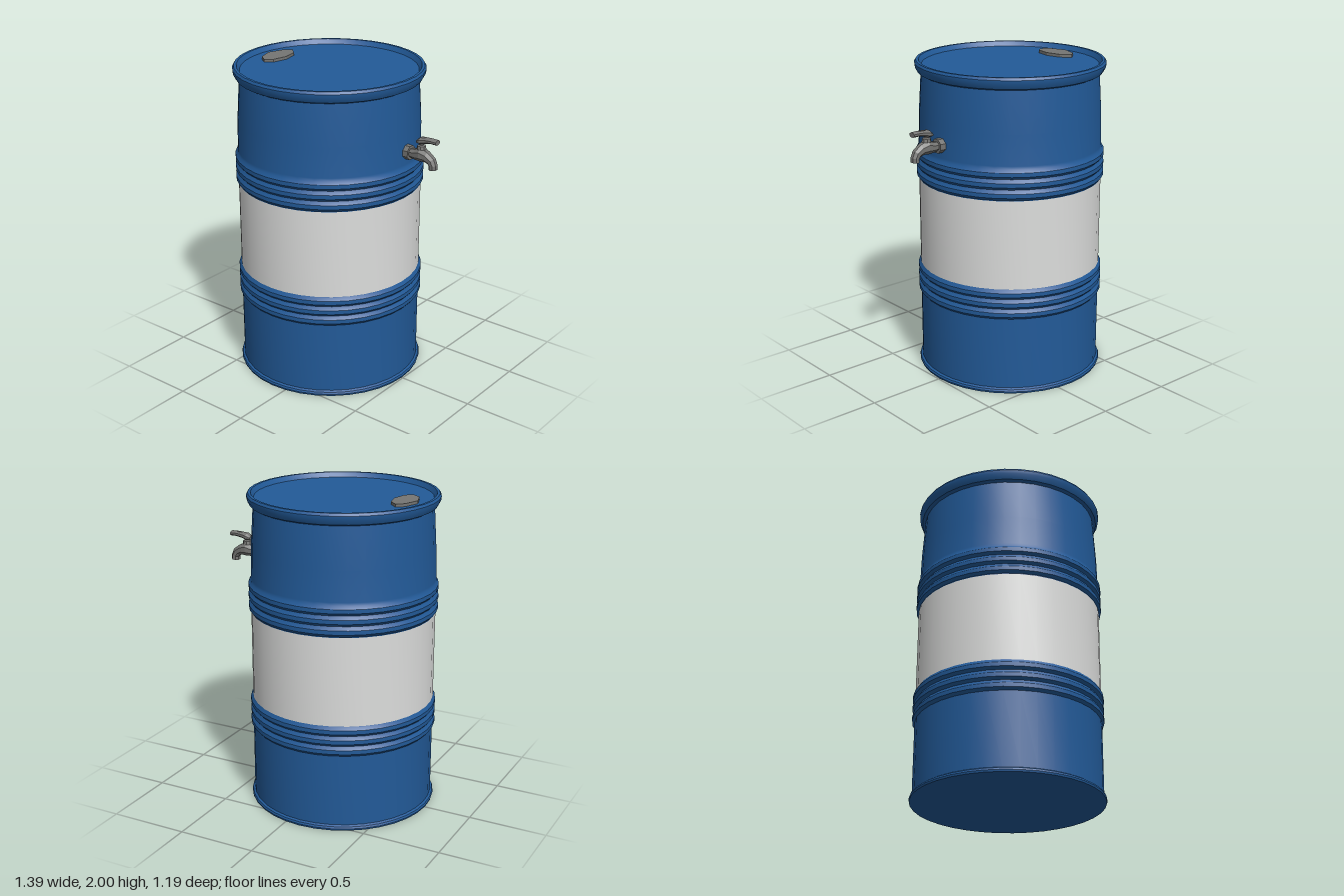
import * as THREE from 'three';
import { toCreasedNormals } from 'three/addons/utils/BufferGeometryUtils.js';

const blue = new THREE.MeshStandardMaterial({ color: 0x225a98 });
blue.name = 'blue paint';
const white = new THREE.MeshStandardMaterial({ color: 0xdcdddc });
white.name = 'white paint';
const grey = new THREE.MeshStandardMaterial({ color: 0x757573 });
grey.name = 'grey metal';

const CENTRE_X = -0.1;
const LID_Y = 1.97;

// Revolved shell from [radius, height] pairs, listed from bottom to top
function shell(name, profile, material) {
  const points = profile.map(([r, y]) => new THREE.Vector2(r, y));
  const geometry = toCreasedNormals(new THREE.LatheGeometry(points, 36), 0.6);
  const mesh = new THREE.Mesh(geometry, material);
  mesh.name = name;
  mesh.position.x = CENTRE_X;
  return mesh;
}

// Three rolled hoops stacked upwards from y
function hoops(y) {
  const points = [];
  for (let i = 0; i < 3; i++) {
    const b = y + i * 0.065;
    points.push([0.577, b], [0.592, b + 0.017], [0.592, b + 0.043], [0.578, b + 0.062]);
  }
  return points;
}

// Faceted closed loft; each section is [x, y, direction, half height, half width]
function loft(name, sections, sides = 8) {
  const first = sections[0], last = sections[sections.length - 1];
  const all = [[first[0], first[1], first[2], 0, 0], ...sections, [last[0], last[1], last[2], 0, 0]];
  const positions = [], index = [];
  all.forEach(([x, y, a, h, w], i) => {
    for (let j = 0; j < sides; j++) {
      const t = ((j + 0.5) / sides) * Math.PI * 2;
      positions.push(x - Math.sin(a) * Math.cos(t) * h, y + Math.cos(a) * Math.cos(t) * h, Math.sin(t) * w);
      if (i === all.length - 1) continue;
      const k = (j + 1) % sides, p = i * sides, q = p + sides;
      index.push(p + j, p + k, q + k, p + j, q + k, q + j);
    }
  });
  let geometry = new THREE.BufferGeometry();
  geometry.setAttribute('position', new THREE.Float32BufferAttribute(positions, 3));
  geometry.setIndex(index);
  geometry = geometry.toNonIndexed();
  geometry.computeVertexNormals();
  const mesh = new THREE.Mesh(geometry, grey);
  mesh.name = name;
  return mesh;
}

export function createModel() {
  const model = new THREE.Group();
  model.name = 'barrel';

  // Drum: lower part, painted band, upper part with recessed lid
  model.add(shell('lowerDrum', [
    [0, 0], [0.592, 0], [0.595, 0.012], [0.59, 0.024], [0.577, 0.032],
    ...hoops(0.497), [0.577, 0.692],
  ], blue));
  model.add(shell('whiteBand', [[0.577, 0.692], [0.577, 1.255]], white));
  model.add(shell('upperDrum', [
    [0.577, 1.255], ...hoops(1.26), [0.576, 1.47], [0.571, 1.66], [0.555, 1.92],
    [0.575, 1.93], [0.592, 1.962], [0.594, 1.985], [0.585, 2], [0.568, 2],
    [0.55, LID_Y], [0, LID_Y],
  ], blue));

  // Filler cap lying on the lid
  const outline = [
    [-0.505, -0.13], [-0.45, -0.075], [-0.43, 0.02], [-0.45, 0.12],
    [-0.495, 0.155], [-0.55, 0.115], [-0.585, 0.015], [-0.55, -0.09],
  ].map(([x, z]) => new THREE.Vector2(x, -z));
  const capGeometry = new THREE.ExtrudeGeometry(new THREE.Shape(outline), { depth: 0.018, bevelEnabled: false });
  capGeometry.rotateX(-Math.PI / 2);
  const cap = new THREE.Mesh(capGeometry, grey);
  cap.name = 'fillerCap';
  cap.position.y = LID_Y;
  model.add(cap);

  // Tap: flange, curved spout, valve stem and lever
  const tap = new THREE.Group();
  tap.name = 'tap';
  tap.position.z = -0.026;
  tap.add(loft('flange', [[0.46, 1.55, 0, 0.046, 0.045], [0.507, 1.55, 0, 0.046, 0.045]]));
  tap.add(loft('spout', [
    [0.5, 1.55, 0, 0.028, 0.028], [0.54, 1.55, 0, 0.035, 0.034],
    [0.58, 1.558, 0, 0.046, 0.04], [0.62, 1.55, -0.3, 0.036, 0.034],
    [0.653, 1.53, -0.85, 0.031, 0.03], [0.667, 1.505, -1.4, 0.027, 0.029],
    [0.667, 1.48, -1.5, 0.027, 0.03],
  ]));
  tap.add(loft('valveStem', [
    [0.58, 1.59, Math.PI / 2, 0.03, 0.03], [0.58, 1.612, Math.PI / 2, 0.026, 0.026],
    [0.58, 1.618, Math.PI / 2, 0.015, 0.015], [0.58, 1.645, Math.PI / 2, 0.015, 0.015],
  ]));
  const lever = loft('lever', [
    [0.548, 1.632, 0.1, 0.012, 0.022], [0.575, 1.641, 0.2, 0.023, 0.034],
    [0.61, 1.648, 0.1, 0.019, 0.026], [0.65, 1.652, 0, 0.016, 0.026],
    [0.69, 1.651, 0, 0.016, 0.025],
  ]);
  lever.position.z = -0.006;
  tap.add(lever);
  model.add(tap);

  return model;
}
